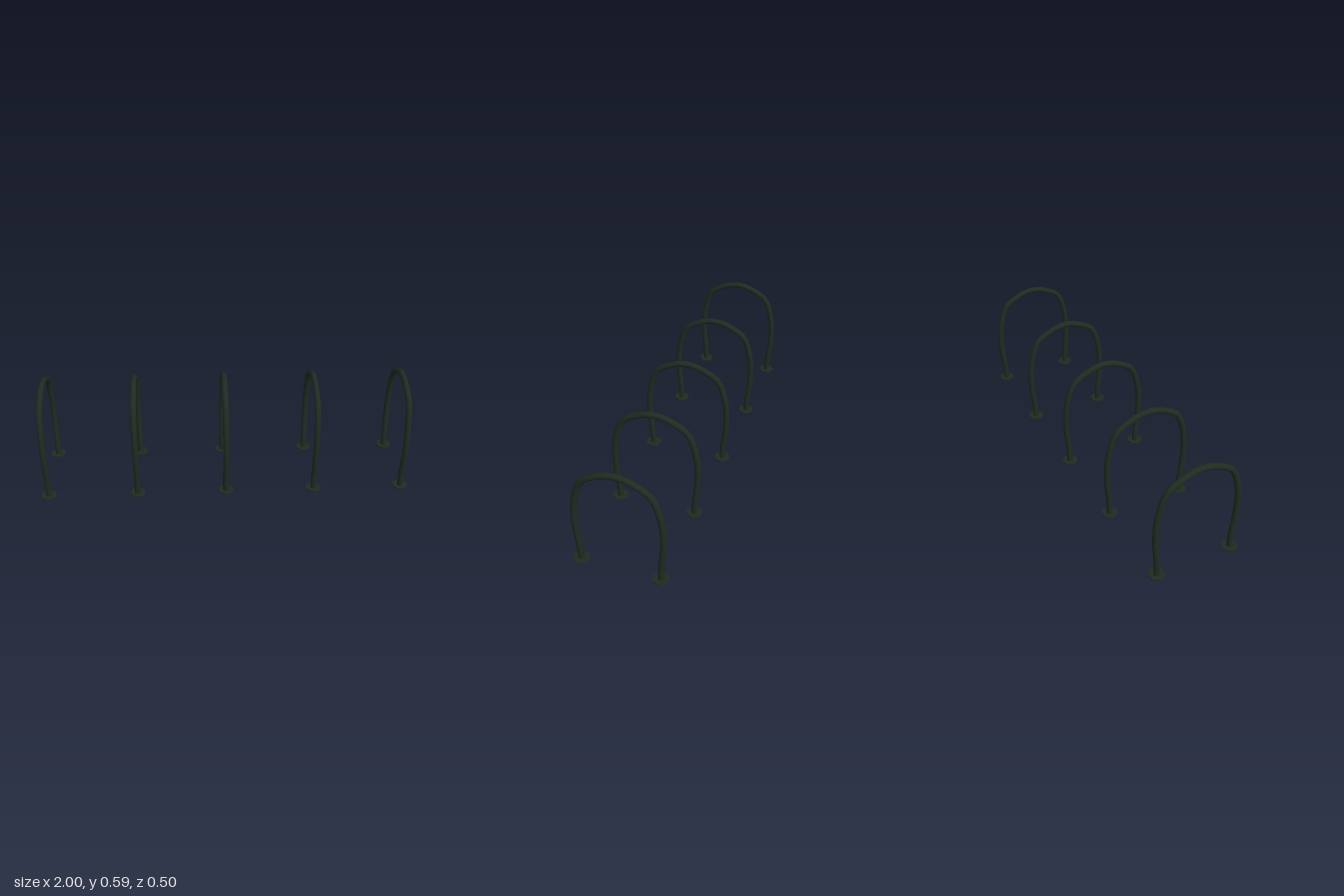
import * as THREE from 'three';

const HOOPS = 5, SPACING = 0.4795, TUBE_R = 0.016, PLATE_R = 0.041, PLATE_H = 0.006;

// One leg's centreline as [z, y], from the ground to just before the crown
const HALF = [
  [0.207, 0.001], [0.21, 0.08], [0.221, 0.19], [0.2235, 0.27], [0.22, 0.34],
  [0.206, 0.415], [0.188, 0.473], [0.163, 0.513], [0.098, 0.551], [0.045, 0.571],
];

export function createModel() {
  const model = new THREE.Group();
  model.name = 'hoopRack';

  const darkGreen = new THREE.MeshStandardMaterial({ color: 0x1f2b21 });
  darkGreen.name = 'darkGreenPaint';

  // Mirror the leg about the crown to get the whole arch
  const left = HALF.map(([z, y]) => new THREE.Vector3(0, y, z));
  const right = HALF.map(([z, y]) => new THREE.Vector3(0, y, -z)).reverse();
  const path = new THREE.CatmullRomCurve3([...left, new THREE.Vector3(0, 0.576, 0), ...right]);

  const tubeGeo = new THREE.TubeGeometry(path, 40, TUBE_R, 14, false);
  const plateGeo = new THREE.CylinderGeometry(PLATE_R, PLATE_R, PLATE_H, 28);

  for (let i = 0; i < HOOPS; i++) {
    const hoop = new THREE.Group();
    hoop.name = `hoop${i + 1}`;
    hoop.position.x = (i - (HOOPS - 1) / 2) * SPACING;

    // Bent tube
    const tube = new THREE.Mesh(tubeGeo, darkGreen);
    tube.name = 'archTube';
    hoop.add(tube);

    // Round foot plates
    for (const side of [1, -1]) {
      const plate = new THREE.Mesh(plateGeo, darkGreen);
      plate.name = side > 0 ? 'frontFootPlate' : 'backFootPlate';
      plate.position.set(0, PLATE_H / 2, side * 0.2065);
      hoop.add(plate);
    }
    model.add(hoop);
  }
  return model;
}
